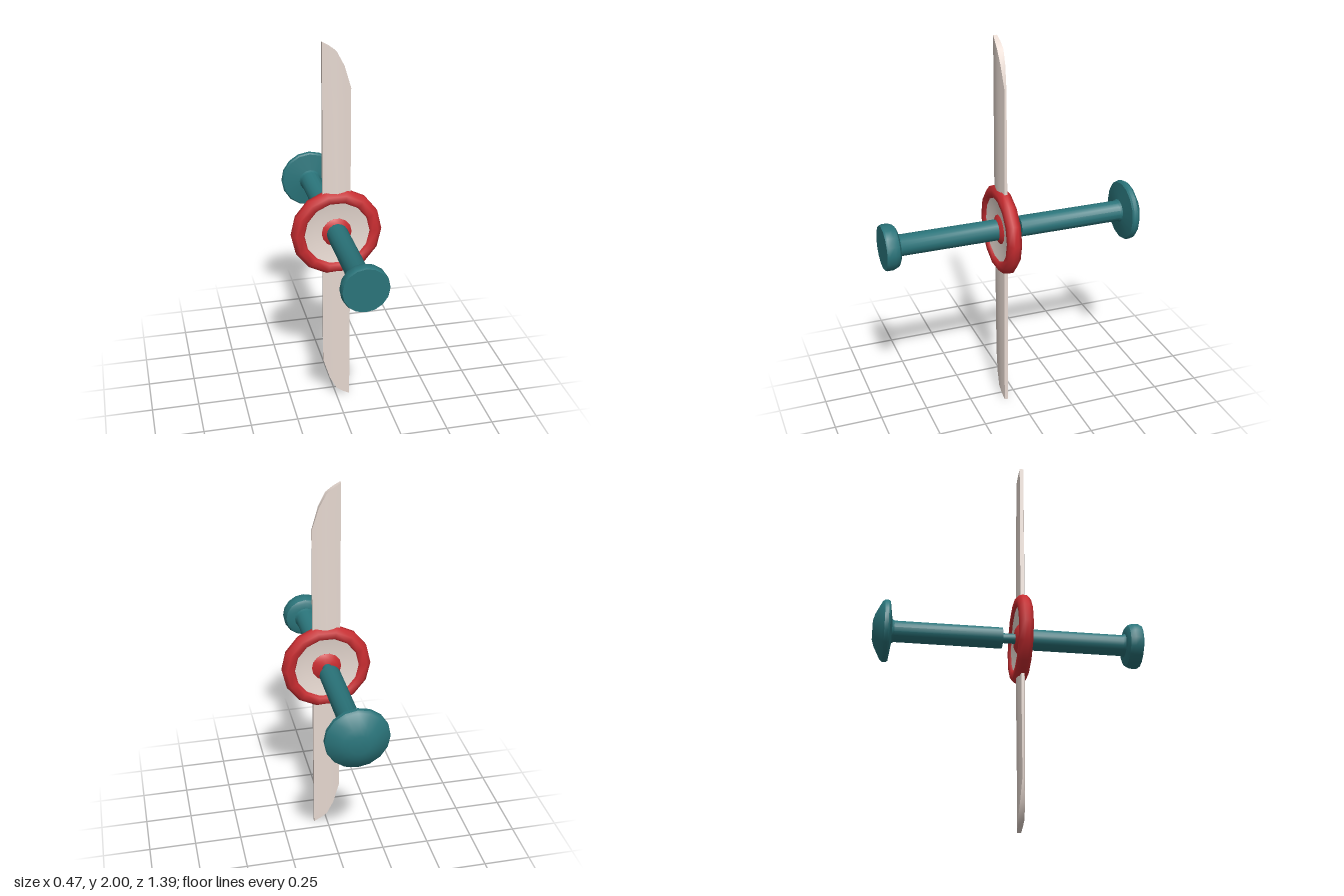
import * as THREE from 'three';
import { toCreasedNormals } from 'three/addons/utils/BufferGeometryUtils.js';

const paint = (color) => new THREE.MeshStandardMaterial({ color });
const teal = paint(0x2a747a), red = paint(0xc92d31), cream = paint(0xe6d8d0);
const HUB_Z = 0.066;

// Profile of [radius, z] pairs spun around the z axis
function spin(name, profile, sides, material, crease = 0.6) {
  const points = profile.map(([r, z]) => new THREE.Vector2(r, z));
  const geo = new THREE.LatheGeometry(points, sides).rotateX(Math.PI / 2).rotateZ(Math.PI / 2);
  const mesh = new THREE.Mesh(toCreasedNormals(geo, crease), material);
  mesh.name = name;
  return mesh;
}

// Blade built from four-cornered sections across its width
function bladeGeometry() {
  // x, root half thickness, tip half thickness, tip height
  const sections = [
    [-0.072, 0.010, 0.010, 1.0],
    [-0.035, 0.019, 0.014, 0.978],
    [0, 0.023, 0.016, 0.95],
    [0.037, 0.018, 0.012, 0.88],
    [0.072, 0.008, 0.005, 0.765],
  ];
  const pos = [], index = [];
  for (const [x, root, tip, y] of sections)
    pos.push(x, 0.19, root, x, y, tip, x, y, -tip, x, 0.19, -root);
  for (let i = 0; i < sections.length - 1; i++) {
    for (let k = 0; k < 4; k++) {
      const a = i * 4 + k, b = i * 4 + (k + 1) % 4;
      index.push(a, a + 4, b, b, a + 4, b + 4);
    }
  }
  const e = (sections.length - 1) * 4;
  index.push(0, 1, 2, 0, 2, 3, e, e + 2, e + 1, e, e + 3, e + 2);
  const geo = new THREE.BufferGeometry();
  geo.setAttribute('position', new THREE.Float32BufferAttribute(pos, 3));
  geo.setIndex(index);
  return toCreasedNormals(geo, 0.7);
}

export function createModel() {
  const model = new THREE.Group();
  model.name = 'propeller';
  const axle = new THREE.Group();
  axle.name = 'axle';
  axle.position.y = 1;

  // Front handle with its flat knob
  axle.add(spin('frontHandle', [
    [0, 0.07], [0.055, 0.07], [0.055, 0.60], [0.062, 0.615], [0.092, 0.618],
    [0.108, 0.628], [0.118, 0.652], [0.118, 0.685], [0.113, 0.695], [0, 0.695],
  ], 16, teal));

  // Rear handle with its domed knob
  axle.add(spin('rearHandle', [
    [0, -0.695], [0.05, -0.695], [0.085, -0.684], [0.15, -0.65], [0.159, -0.638],
    [0.159, -0.618], [0.152, -0.61], [0.062, -0.597], [0.055, -0.585], [0.055, -0.03], [0, -0.03],
  ], 16, teal));

  // Thin spindle joining the handles through the hub
  axle.add(spin('spindle', [[0.026, -0.05], [0.026, 0.08]], 12, teal));

  // Rotor: rim, dished web, boss and two blades
  const rotor = new THREE.Group();
  rotor.name = 'rotor';
  rotor.position.z = HUB_Z;
  rotor.add(spin('rim', [
    [0.18, -0.035], [0.212, -0.035], [0.235, -0.012], [0.235, 0.012], [0.212, 0.035],
    [0.18, 0.035], [0.165, 0.018], [0.165, -0.018], [0.18, -0.035],
  ], 14, red, 0.9));
  rotor.add(spin('web', [
    [0.06, -0.010], [0.12, -0.014], [0.175, -0.024], [0.175, 0.024], [0.12, 0.014], [0.06, 0.010],
  ], 14, cream));
  rotor.add(spin('boss', [
    [0, -0.028], [0.055, -0.028], [0.078, -0.012], [0.078, 0.012], [0.055, 0.028], [0, 0.028],
  ], 14, red, 0.9));

  const geo = bladeGeometry();
  for (let i = 0; i < 2; i++) {
    const blade = new THREE.Mesh(geo, cream);
    blade.name = i ? 'lowerBlade' : 'upperBlade';
    blade.rotation.z = i * Math.PI;
    rotor.add(blade);
  }
  axle.add(rotor);
  model.add(axle);
  return model;
}
